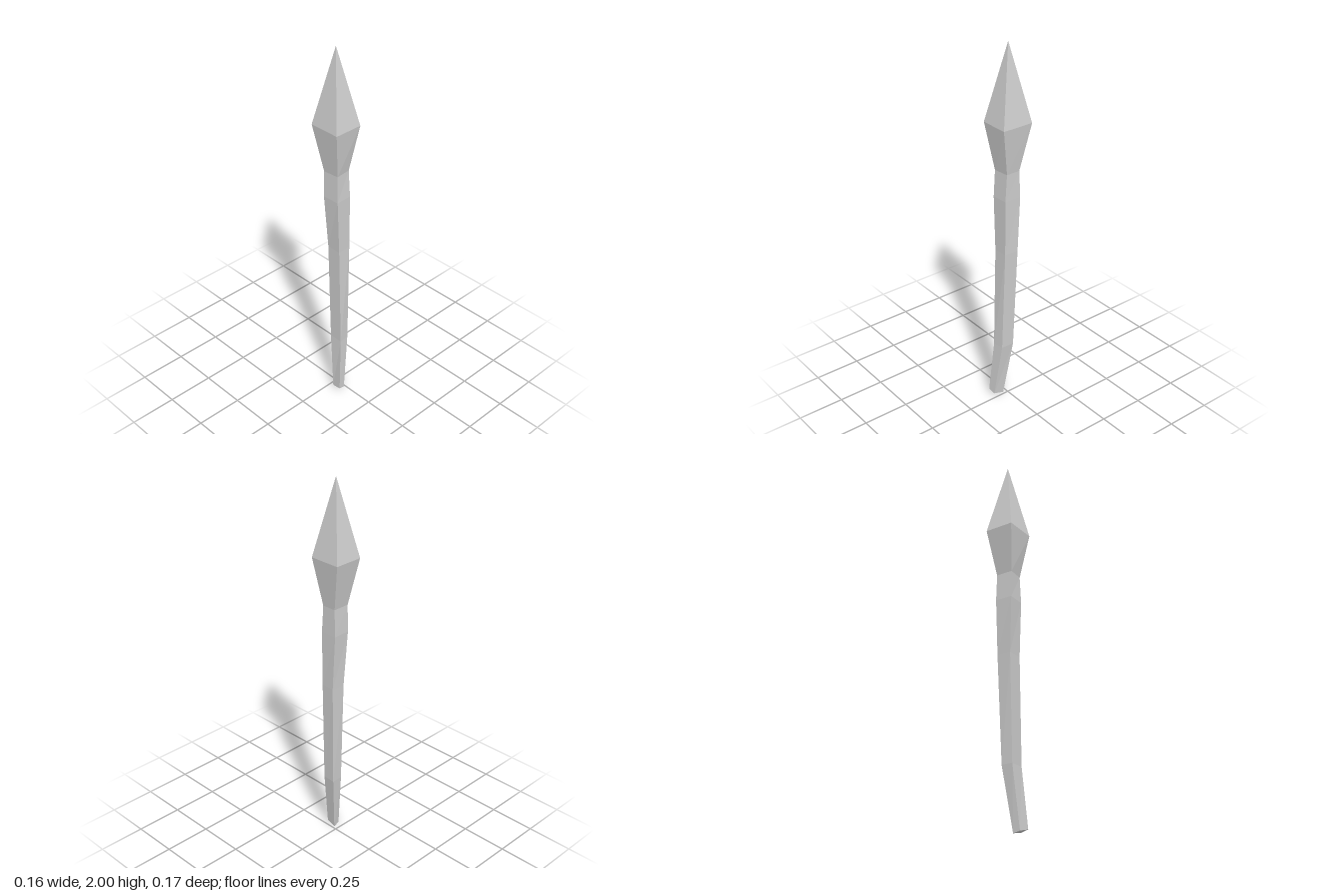
import * as THREE from 'three';

// Each ring: y, then x,z of front-left-of-frame, front +x, back +x, back -x corners
const RINGS = [
  [0.01, -0.056, 0.084, -0.018, 0.078, -0.012, 0.022, -0.048, 0.026],
  [0.33, -0.032, 0.067, 0.026, 0.058, 0.030, -0.012, -0.030, -0.010],
  [0.90, -0.032, 0.054, 0.043, 0.050, 0.047, -0.026, -0.030, -0.027],
  [1.20, -0.043, 0.054, 0.045, 0.050, 0.046, -0.042, -0.046, -0.040],
  [1.345, -0.038, 0.049, 0.045, 0.040, 0.044, -0.037, -0.046, -0.037],
  [1.595, -0.078, 0.083, 0.077, 0.083, 0.077, -0.087, -0.078, -0.087],
];
const TIP = [0, 2, -0.003];

const ringCorners = ([y, ...c]) => [0, 2, 4, 6].map((i) => [c[i], y, c[i + 1]]);

// Joins four-cornered rings with flat quads, optionally closing the bottom and adding a point
function loft(rings, { floor = false, tip = null } = {}) {
  const p = [];
  const tri = (a, b, c) => p.push(...a, ...b, ...c);
  for (let r = 0; r < rings.length - 1; r++) {
    for (let i = 0; i < 4; i++) {
      const j = (i + 1) % 4;
      tri(rings[r][i], rings[r][j], rings[r + 1][j]);
      tri(rings[r][i], rings[r + 1][j], rings[r + 1][i]);
    }
  }
  if (floor) {
    const [a, b, c, d] = rings[0];
    tri(a, d, c);
    tri(a, c, b);
  }
  if (tip) {
    const top = rings[rings.length - 1];
    for (let i = 0; i < 4; i++) tri(top[i], top[(i + 1) % 4], tip);
  }
  const g = new THREE.BufferGeometry();
  g.setAttribute('position', new THREE.Float32BufferAttribute(p, 3));
  g.computeVertexNormals();
  return g;
}

export function createModel() {
  const group = new THREE.Group();
  group.name = 'spear';
  const material = new THREE.MeshStandardMaterial({ color: 0xcccccc, flatShading: true });
  const rings = RINGS.map(ringCorners);

  // Slanted butt end: front edge a little higher than the back
  [0.025, 0.012, 0, 0.008].forEach((y, i) => { rings[0][i][1] = y; });

  const add = (name, geometry) => {
    const mesh = new THREE.Mesh(geometry, material);
    mesh.name = name;
    group.add(mesh);
  };

  // Crooked four-sided shaft
  add('shaft', loft(rings.slice(0, 5), { floor: true }));
  // Pointed head flaring from the neck
  add('spearhead', loft(rings.slice(4), { tip: TIP }));

  return group;
}
